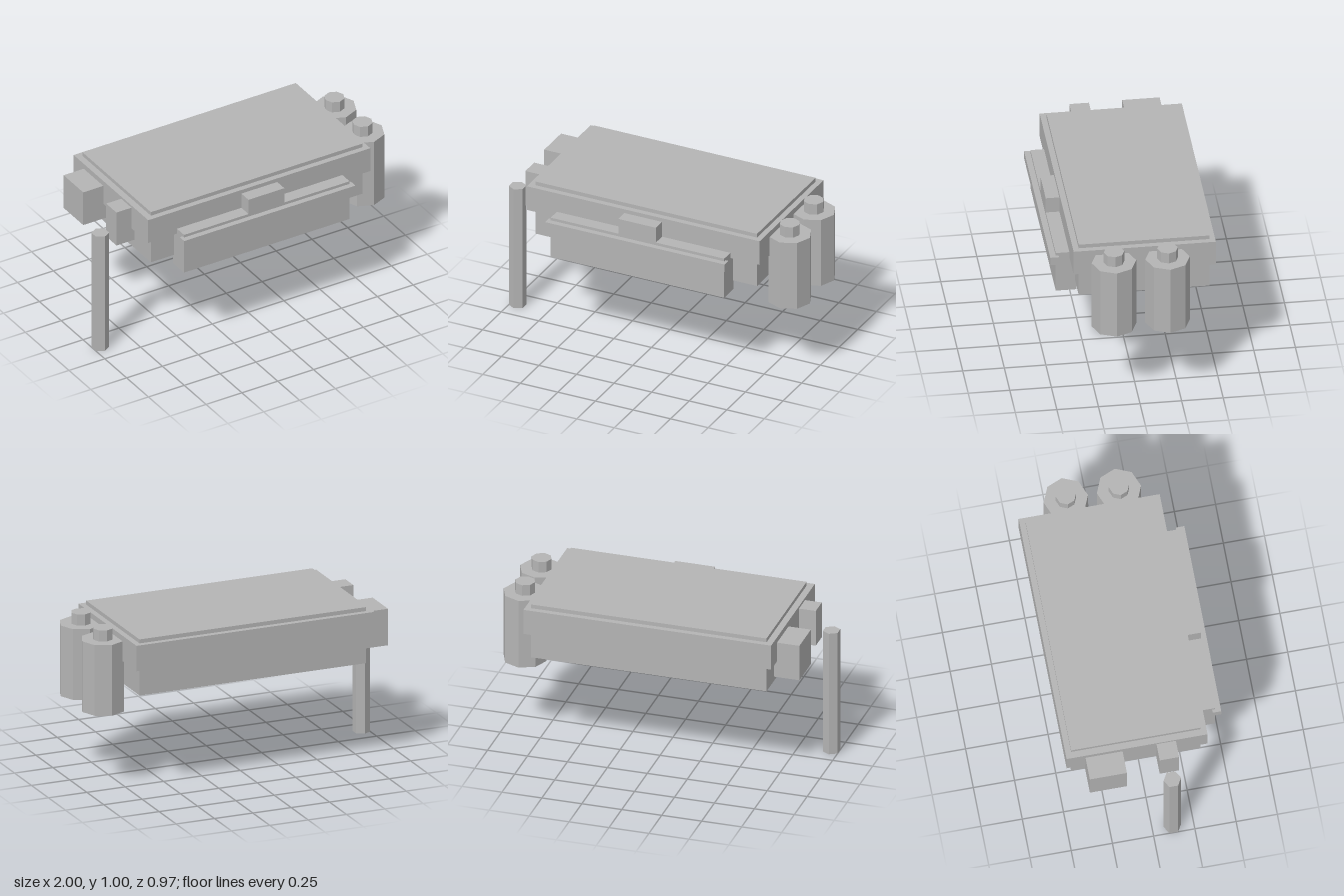
import * as THREE from 'three';

export function createModel() {
  const model = new THREE.Group();
  const grey = new THREE.MeshStandardMaterial({ color: 0xb4b4b4, flatShading: true });
  grey.name = 'plain grey';

  const add = (name, geometry, x, y, z) => {
    const mesh = new THREE.Mesh(geometry, grey);
    mesh.name = name;
    mesh.position.set(x, y, z);
    model.add(mesh);
  };
  // Box given by its extents on each axis
  const box = (name, [x0, x1], [y0, y1], [z0, z1]) =>
    add(name, new THREE.BoxGeometry(x1 - x0, y1 - y0, z1 - z0),
      (x0 + x1) / 2, (y0 + y1) / 2, (z0 + z1) / 2);
  // Upright prism between two heights
  const prism = (name, sides, r, y0, y1, x, z) =>
    add(name, new THREE.CylinderGeometry(r, r, y1 - y0, sides), x, (y0 + y1) / 2, z);

  // Main body: lower block, wider slab and thin top plate
  box('lowerBody', [-0.73, 0.745], [0.637, 0.805], [-0.45, 0.335]);
  box('upperSlab', [-0.77, 0.78], [0.805, 0.965], [-0.485, 0.37]);
  box('topPlate', [-0.73, 0.745], [0.965, 0.99], [-0.45, 0.335]);

  // Front panel with its rail and raised block
  box('frontPanel', [-0.57, 0.585], [0.575, 0.84], [0.328, 0.452]);
  box('frontRail', [-0.59, 0.605], [0.77, 0.822], [0.435, 0.487]);
  box('frontBlock', [-0.12, 0.13], [0.84, 0.94], [0.328, 0.452]);

  // Boxes on the right side
  box('rearSideBox', [-0.91, -0.75], [0.7, 0.93], [-0.37, -0.145]);
  box('frontSideBox', [-0.875, -0.75], [0.718, 0.95], [0.06, 0.178]);

  // Hexagonal post
  prism('post', 6, 0.053, 0, 0.805, -0.954, 0.122);

  // Pair of octagonal canisters with necks
  for (const z of [0.139, -0.183]) {
    prism('canister', 8, 0.134, 0.485, 0.93, 0.866, z);
    prism('canisterNeck', 8, 0.062, 0.93, 1, 0.866, z);
  }
  return model;
}
